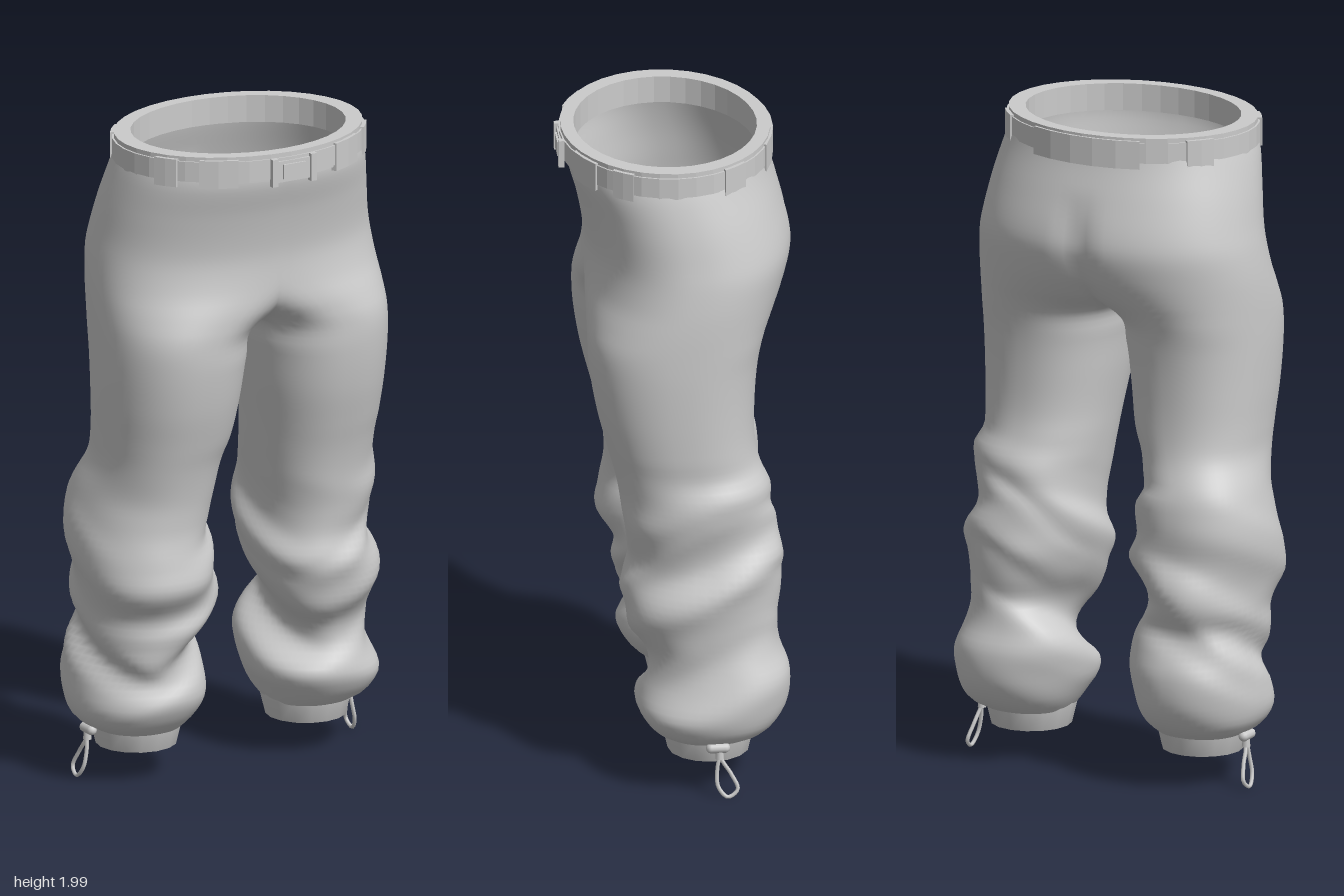
import * as THREE from 'three';
import { mergeGeometries, mergeVertices } from 'three/addons/utils/BufferGeometryUtils.js';

const grey = new THREE.MeshStandardMaterial({ color: 0xcccccc, side: THREE.DoubleSide });

// Cross-section rows of one half: [y, inner x, outer x, front z, back z]
const HIPS = [
  [1.96, -0.372, 0.372, 0.315, -0.275], [1.9, -0.392, 0.392, 0.315, -0.288], [1.8, -0.416, 0.416, 0.288, -0.318],
  [1.7, -0.434, 0.434, 0.268, -0.345], [1.64, -0.425, 0.445, 0.262, -0.348], [1.56, -0.33, 0.455, 0.265, -0.322],
  [1.49, -0.15, 0.46, 0.272, -0.285], [1.42, 0.0, 0.462, 0.275, -0.25], [1.33, 0.025, 0.462, 0.272, -0.23],
  [1.2, 0.042, 0.457, 0.252, -0.22], [1.08, 0.06, 0.45, 0.222, -0.222],
];
const LEFT_LEG = [
  [1.0, 0.07, 0.445, 0.2, -0.24], [0.93, 0.08, 0.472, 0.185, -0.275], [0.86, 0.09, 0.465, 0.175, -0.285],
  [0.79, 0.09, 0.44, 0.165, -0.285], [0.72, 0.062, 0.435, 0.165, -0.29], [0.64, 0.078, 0.488, 0.19, -0.3],
  [0.57, 0.11, 0.475, 0.165, -0.3], [0.5, 0.155, 0.462, 0.145, -0.285], [0.43, 0.165, 0.452, 0.115, -0.295],
  [0.36, 0.1, 0.475, 0.115, -0.32], [0.27, 0.1, 0.503, 0.14, -0.315], [0.21, 0.128, 0.488, 0.115, -0.285],
  [0.175, 0.15, 0.46, 0.085, -0.25], [0.155, 0.165, 0.425, 0.055, -0.215],
];
const RIGHT_LEG = [
  [1.0, 0.09, 0.45, 0.2, -0.235], [0.9, 0.11, 0.475, 0.18, -0.275], [0.84, 0.12, 0.49, 0.175, -0.285],
  [0.79, 0.092, 0.505, 0.175, -0.29], [0.7, 0.095, 0.507, 0.19, -0.295], [0.63, 0.08, 0.488, 0.2, -0.3],
  [0.55, 0.138, 0.475, 0.16, -0.295], [0.49, 0.142, 0.472, 0.15, -0.285], [0.43, 0.11, 0.442, 0.125, -0.3],
  [0.36, 0.095, 0.488, 0.12, -0.32], [0.27, 0.1, 0.5, 0.14, -0.315], [0.21, 0.122, 0.488, 0.115, -0.285],
  [0.175, 0.15, 0.46, 0.085, -0.25], [0.155, 0.165, 0.425, 0.055, -0.215],
];
// Diagonal cloth folds: [y, slope along x, slope along z, push]
const LEFT_FOLDS = [[0.77, 0.6, -0.45, -0.016], [0.6, 0.5, -0.5, 0.014], [0.46, 0.45, -0.4, -0.014]];
const RIGHT_FOLDS = [[0.62, -0.3, -0.4, -0.012], [0.5, -0.6, -0.4, 0.018], [0.4, -0.5, -0.35, -0.014]];

// Smooth (Catmull-Rom) lookup of a row at height y
function rowAt(rows, y) {
  let i = 0;
  while (i < rows.length - 2 && rows[i + 1][0] > y) i++;
  const b = rows[i], c = rows[i + 1], a = rows[Math.max(i - 1, 0)], d = rows[Math.min(i + 2, rows.length - 1)];
  const h = c[0] - b[0], t = (y - b[0]) / h;
  return b.map((v, k) => {
    const m0 = (c[k] - a[k]) / (c[0] - a[0]) * h, m1 = (d[k] - v) / (d[0] - b[0]) * h;
    return (2 * t ** 3 - 3 * t * t + 1) * v + (t ** 3 - 2 * t * t + t) * m0
      + (3 * t * t - 2 * t ** 3) * c[k] + (t ** 3 - t * t) * m1;
  });
}

const power = (v) => Math.sign(v) * Math.abs(v) ** 0.9;
const smooth = THREE.MathUtils.smoothstep;

// One trouser half: hip section open at x = 0, turning into a closed leg below the crotch
function trouserHalf(rows, folds, side) {
  const OUT = 48, SEG = 60, RINGS = 92, top = 1.96, bottom = 0.155, pos = [], index = [];
  for (let i = 0; i <= RINGS; i++) {
    const y = top + (bottom - top) * i / RINGS;
    const [, xi, xo, zf, zb] = rowAt(rows, y);
    const mid = (xi + xo) / 2, cz = (zf + zb) / 2, depth = (zf - zb) / 2;
    // Angle at which the section meets the centre plane
    const ratio = Math.max(mid, 0) / ((xo - xi) / 2);
    const cut = Math.min(Math.PI * 5 / 6, Math.acos(-Math.min(1, ratio ** (1 / 0.9))));
    const fade = smooth(y, 0.18, 0.34) * (1 - smooth(y, 0.88, 1.05));
    const seat = smooth(y, 1.42, 1.52) * (1 - smooth(y, 1.66, 1.84));
    for (let j = 0; j < SEG; j++) {
      const u = j <= OUT ? -cut + 2 * cut * j / OUT : cut + (2 * Math.PI - 2 * cut) * (j - OUT) / (SEG - OUT);
      const s = power(Math.sin(u));
      let z = cz + depth * s;
      // The side bulges climb towards the back
      const [, xa, xb] = rowAt(rows, y + 0.45 * fade * depth * s);
      const cx = (xa + xb) / 2;
      let x = cx + (xb - xa) / 2 * power(Math.cos(u));
      let push = 0;
      for (const [y0, sx, sz, amount] of folds) {
        const d = y - y0 - sx * (x - cx) - sz * (z - cz);
        push += amount * Math.exp(-((d / (d > 0 ? 0.07 : 0.035)) ** 2));
      }
      push *= fade * (0.2 + 0.8 * Math.abs(Math.sin(u)));
      x += push * Math.cos(u);
      z += push * Math.sin(u);
      // Seat crease
      if (z < 0) z += 0.022 * seat * Math.exp(-((x / 0.045) ** 2));
      pos.push((xi < 0 && j >= OUT) || (xi < 0 && j === 0) || x < 1e-4 ? 0 : x * side, y, z);
    }
  }
  // Leave out the wall that would lie on the centre plane
  const add = (a, b, c) => {
    if (pos[a * 3] === 0 && pos[b * 3] === 0 && pos[c * 3] === 0) return;
    if (side > 0) index.push(a, b, c); else index.push(a, c, b);
  };
  for (let i = 0; i < RINGS; i++) for (let j = 0; j < SEG; j++) {
    const a = i * SEG + j, b = i * SEG + (j + 1) % SEG;
    add(a, b, a + SEG);
    add(b, b + SEG, a + SEG);
  }
  const g = new THREE.BufferGeometry();
  g.setAttribute('position', new THREE.Float32BufferAttribute(pos, 3));
  g.setIndex(index);
  return g;
}

// Elliptical band around the waist between two angles (degrees, 0 = left, 90 = front)
function waistBand(from, to, y0, y1, inner, outer) {
  const a0 = THREE.MathUtils.degToRad(from), a1 = THREE.MathUtils.degToRad(to);
  const n = Math.max(2, Math.round((to - from) / 10)), shape = new THREE.Shape();
  const at = (a, o) => new THREE.Vector2((0.388 + o) * Math.cos(a), -0.02 - (0.312 + o * 0.75) * Math.sin(a));
  const arc = (o) => Array.from({ length: n + 1 }, (_, i) => at(a0 + (a1 - a0) * i / n, o));
  if (to - from >= 360) {
    shape.setFromPoints(arc(outer).slice(0, -1));
    shape.holes.push(new THREE.Path(arc(inner).slice(0, -1)));
  } else {
    shape.setFromPoints([...arc(outer), ...arc(inner).reverse()]);
  }
  return new THREE.ExtrudeGeometry(shape, { depth: y1 - y0, bevelEnabled: false }).rotateX(-Math.PI / 2).translate(0, y0, 0);
}

export function createModel() {
  const model = new THREE.Group();
  const add = (name, geometry, parent = model) => {
    const mesh = new THREE.Mesh(geometry, grey);
    mesh.name = name;
    parent.add(mesh);
    return mesh;
  };

  // Trousers
  const cloth = mergeVertices(mergeGeometries([
    trouserHalf([...HIPS, ...LEFT_LEG], LEFT_FOLDS, 1),
    trouserHalf([...HIPS, ...RIGHT_LEG], RIGHT_FOLDS, -1),
  ]));
  cloth.computeVertexNormals();
  add('trousers', cloth);

  // Waistband, belt, side loops and back panel
  add('waistband', waistBand(0, 360, 1.915, 1.998, -0.053, 0));
  add('belt', waistBand(0, 360, 1.922, 1.984, -0.01, 0.006));
  for (const [mid, half] of [[56, 9], [30, 6], [-34, 7]]) {
    for (const m of [mid, 180 - mid]) add('beltLoop', waistBand(m - half, m + half, 1.904, 1.99, -0.01, 0.012));
  }
  add('backPanel', waistBand(-117, -63, 1.904, 1.99, -0.01, 0.01));

  // Buckle: frame with a clasp
  const buckle = new THREE.Group();
  buckle.name = 'buckle';
  buckle.position.set(0.005, 1.942, 0.334);
  model.add(buckle);
  add('buckleBody', new THREE.BoxGeometry(0.15, 0.065, 0.012), buckle);
  add('buckleClasp', new THREE.BoxGeometry(0.075, 0.045, 0.012), buckle).position.z = 0.006;
  for (const s of [-1, 1]) add('buckleBar', new THREE.BoxGeometry(0.02, 0.085, 0.018), buckle).position.set(0.066 * s, 0, 0.003);

  for (const s of [1, -1]) {
    // Ankle cuff with a turned-in lip
    const profile = [[0.14, 0.185], [0.138, 0.165], [0.122, 0.098], [0.112, 0.098], [0.12, 0.18]];
    add('cuff', new THREE.LatheGeometry(profile.map(([r, y]) => new THREE.Vector2(r, y)), 16))
      .position.set(0.292 * s, 0, -0.08);

    // Cord stopper and hanging cord loop
    const stopper = add('cordStopper', new THREE.CapsuleGeometry(0.016, 0.04, 4, 10));
    stopper.rotation.x = Math.PI / 2;
    stopper.position.set(0.45 * s, 0.158, -0.093);
    const knob = add('cordKnob', new THREE.CylinderGeometry(0.011, 0.013, 0.03, 8));
    knob.position.set(0.45 * s, 0.138, -0.098);
    const path = [[0.425, 0.165, -0.09], [0.449, 0.14, -0.097], [0.457, 0.09, -0.09], [0.467, 0.04, -0.092], [0.474, 0.008, -0.12],
      [0.47, 0.03, -0.15], [0.46, 0.075, -0.132], [0.45, 0.125, -0.102], [0.43, 0.165, -0.1]];
    const curve = new THREE.CatmullRomCurve3(path.map(([x, y, z]) => new THREE.Vector3(x * s, y, z)));
    add('cord', new THREE.TubeGeometry(curve, 40, 0.006, 6));
  }
  return model;
}
